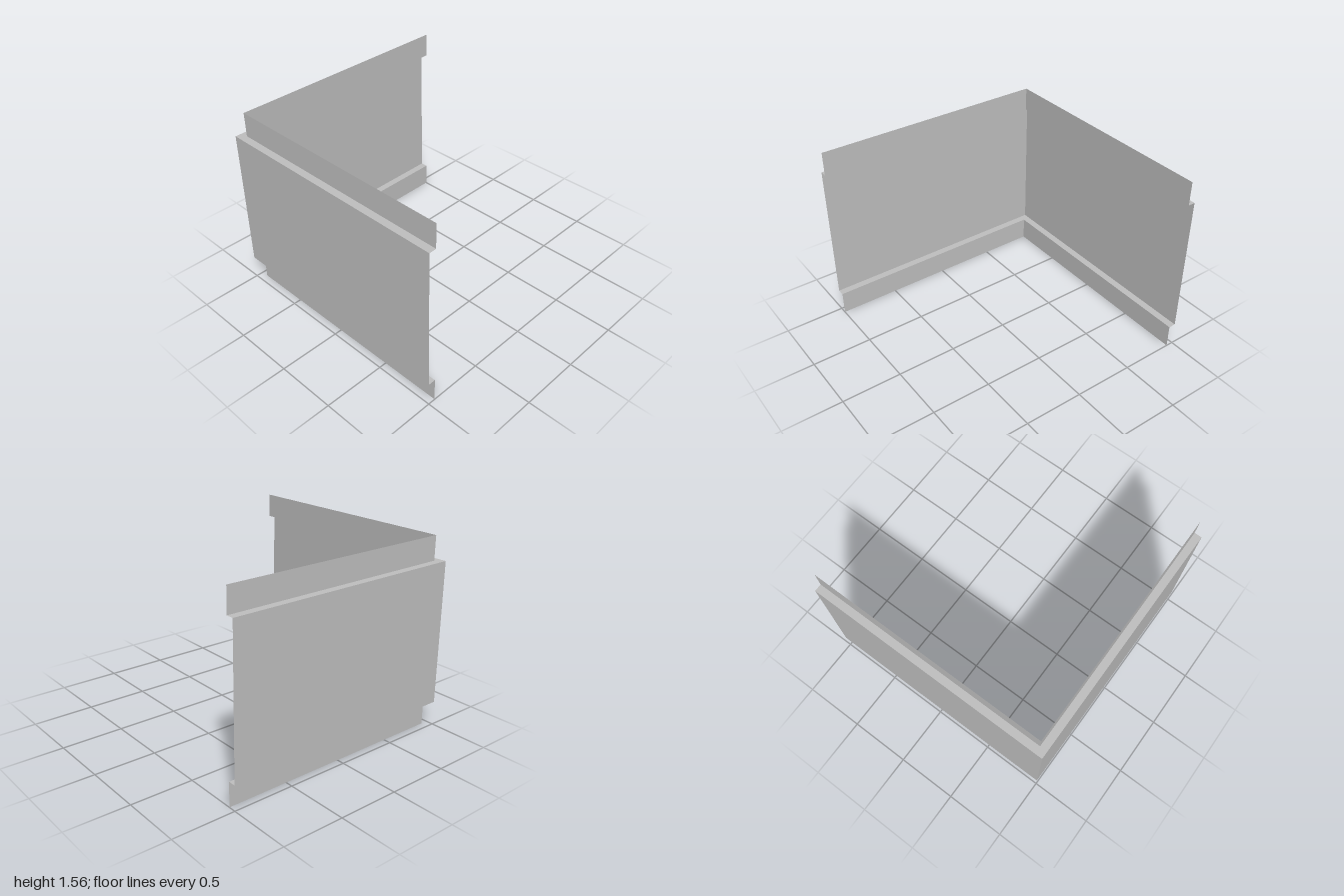
import * as THREE from 'three';

// Folded panel profile: [inset from the outer face, height]
const PROFILE = [[0.06, 0], [0.06, 0.197], [0, 0.197], [0, 1.363], [0.06, 1.363], [0.06, 1.56]];
const NAMES = ['lowerFlange', 'lowerLedge', 'panel', 'upperLedge', 'upperFlange'];

// Flat quad, visible from both sides
function strip(a, b, c, d) {
  const geometry = new THREE.BufferGeometry();
  geometry.setAttribute('position', new THREE.Float32BufferAttribute([...a, ...b, ...c, ...d], 3));
  geometry.setIndex([0, 1, 2, 0, 2, 3]);
  geometry.computeVertexNormals();
  return geometry;
}

export function createModel() {
  const model = new THREE.Group();
  model.name = 'cornerPanel';
  const sheet = new THREE.MeshStandardMaterial({ color: 0xc0c0c0, side: THREE.DoubleSide });
  sheet.name = 'grey sheet';

  const backWall = new THREE.Group();
  backWall.name = 'backWall';
  const rightWall = new THREE.Group();
  rightWall.name = 'rightWall';

  // Both walls share the profile and meet in a mitred corner at (-1, -1)
  NAMES.forEach((name, i) => {
    const [i0, y0] = PROFILE[i];
    const [i1, y1] = PROFILE[i + 1];
    const p0 = i0 - 1, p1 = i1 - 1;

    const back = new THREE.Mesh(
      strip([p0, y0, p0], [1, y0, p0], [1, y1, p1], [p1, y1, p1]), sheet);
    back.name = name;
    backWall.add(back);

    const side = new THREE.Mesh(
      strip([p0, y0, 1], [p0, y0, p0], [p1, y1, p1], [p1, y1, 1]), sheet);
    side.name = name;
    rightWall.add(side);
  });

  model.add(backWall, rightWall);
  return model;
}
